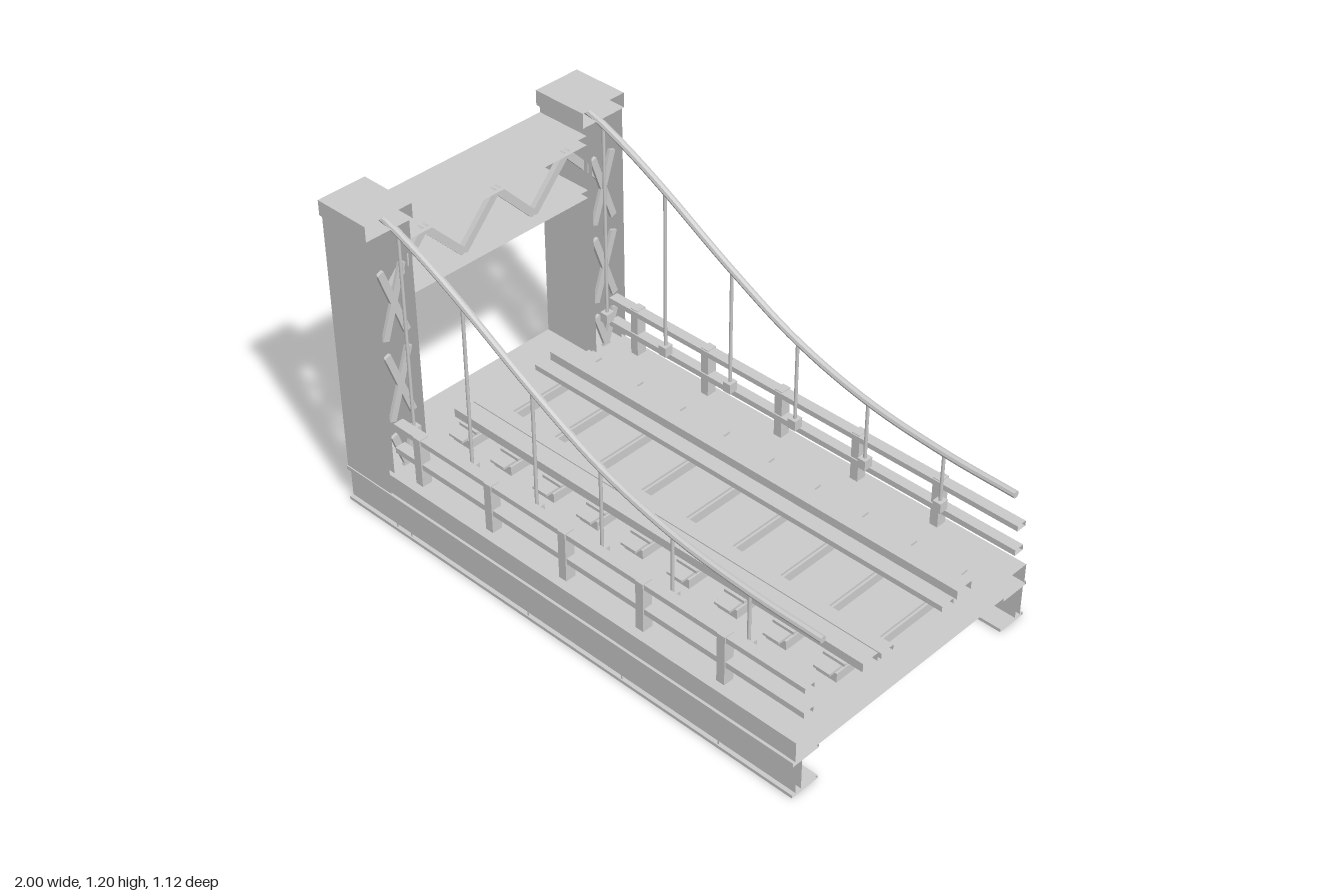
import * as THREE from 'three';

export function createModel() {
  const model = new THREE.Group();
  model.name = 'suspensionBridgeSection';
  const steel = new THREE.MeshStandardMaterial({ color: 0xcacaca, side: THREE.DoubleSide });
  steel.name = 'plain grey';

  const add = (parent, name, geometry) => {
    const mesh = new THREE.Mesh(geometry, steel);
    mesh.name = name;
    parent.add(mesh);
    return mesh;
  };
  // Box given by its limits; open = without the two x end faces
  const box = (parent, name, x0, x1, y0, y1, z0, z1, open = false) => {
    const g = new THREE.BoxGeometry(x1 - x0, y1 - y0, z1 - z0);
    if (open) {
      g.setIndex(Array.from(g.index.array).slice(12));
      g.clearGroups();
    }
    g.translate((x0 + x1) / 2, (y0 + y1) / 2, (z0 + z1) / 2);
    return add(parent, name, g);
  };
  // Same box on both sides of the bridge
  const pair = (parent, name, x0, x1, y0, y1, z0, z1, open) => {
    box(parent, name + 'Left', x0, x1, y0, y1, z0, z1, open);
    box(parent, name + 'Right', x0, x1, y0, y1, -z1, -z0, open);
  };
  // Flat bar between two points of a plane across the bridge
  const bar = (parent, name, x, [z0, y0], [z1, y1], width, depth = 0.012) => {
    const dz = z1 - z0, dy = y1 - y0;
    const m = add(parent, name, new THREE.BoxGeometry(depth, width, Math.hypot(dz, dy)));
    m.position.set(x, (y0 + y1) / 2, (z0 + z1) / 2);
    m.rotation.x = -Math.atan2(dy, dz);
  };
  const group = (name) => {
    const g = new THREE.Group();
    g.name = name;
    model.add(g);
    return g;
  };

  // Deck, side girders and cross beams
  const deck = group('deck');
  box(deck, 'deckSlab', -1, 1, 0.144, 0.22, -0.545, 0.545, true);
  pair(deck, 'girderWeb', -1, 1, 0.012, 0.13, 0.515, 0.54, true);
  pair(deck, 'girderBottomFlange', -1, 1, 0, 0.012, 0.44, 0.555, true);
  pair(deck, 'girderTopFlange', -1, 1, 0.13, 0.144, 0.44, 0.555, true);
  for (const x of [-0.76, -0.69, -0.13, 0.29, 0.7])
    pair(deck, 'girderStiffener', x - 0.003, x + 0.003, 0.012, 0.13, 0.505, 0.55, true);
  box(deck, 'frontCrossBeam', 0.76, 0.89, 0.01, 0.14, -0.54, 0.54);
  box(deck, 'towerCrossBeam', -0.89, -0.76, 0.01, 0.14, -0.54, 0.54);

  // Sleepers, plates and running rails
  const track = group('track');
  for (let i = 0; i < 9; i++) {
    const x = -0.7 + i * 0.2;
    box(track, 'sleeper', x - 0.04, x + 0.04, 0.253, 0.288, -0.3, 0.3);
    box(track, 'sleeperPlate', x - 0.032, x + 0.032, 0.288, 0.297, -0.325, 0.325);
    pair(track, 'railChair', x - 0.042, x + 0.042, 0.297, 0.303, 0.155, 0.27);
    pair(track, 'chairOuterLip', x - 0.042, x + 0.042, 0.303, 0.308, 0.262, 0.27);
    pair(track, 'chairInnerLip', x - 0.042, x + 0.042, 0.303, 0.308, 0.155, 0.163);
  }
  pair(track, 'rail', -0.78, 1, 0.303, 0.336, 0.187, 0.255, true);
  pair(track, 'guardRail', -0.78, 1, 0.299, 0.32, 0.115, 0.17, true);

  // Railings along both edges, posts outside the rails
  const railing = group('railings');
  for (let i = -2; i <= 2; i++) {
    const x = 0.006 + i * 0.335;
    pair(railing, 'railingPost', x - 0.016, x + 0.016, 0.23, 0.42, 0.48, 0.52);
  }
  pair(railing, 'handRail', -0.78, 1, 0.397, 0.417, 0.475, 0.515, true);
  pair(railing, 'lowerRail', -0.78, 1, 0.298, 0.32, 0.475, 0.515, true);

  // Tower legs: plated columns with crossed bracing and caps
  const tower = group('tower');
  const X0 = -1, X1 = -0.778;
  pair(tower, 'legOuterPlate', X0, X1, 0.144, 1.144, 0.53, 0.55, true);
  pair(tower, 'legInnerPlate', X0, X1, 0.22, 1.144, 0.385, 0.405, true);
  pair(tower, 'towerCap', X0, X1, 1.144, 1.2, 0.37, 0.56, true);
  for (const s of [1, -1])
    for (const x of [X0 + 0.012, X1 - 0.012])
      for (const y of [0.1, 0.42, 0.74]) {
        bar(tower, 'legBrace', x, [s * 0.51, y], [s * 0.42, y + 0.26], 0.026);
        bar(tower, 'legBrace', x, [s * 0.42, y], [s * 0.51, y + 0.26], 0.026);
      }

  // Portal between the legs with a zigzag web
  box(tower, 'portalTopChord', X0, X1, 1.075, 1.11, -0.385, 0.385, true);
  box(tower, 'portalBottomChord', X0, X1, 0.87, 0.9, -0.385, 0.385, true);
  for (let i = 0; i < 6; i++) {
    const z = -0.465 + i * 0.155;
    const low = 0.905, high = 1.07;
    bar(tower, 'portalWebBar', -0.805, [z, i % 2 ? high : low],
      [z + 0.155, i % 2 ? low : high], 0.028, 0.02);
  }

  // Main cables with hangers and clamps
  const cables = group('cables');
  const points = [[-0.97, 1.175], [-0.88, 1.165], [-0.78, 1.14], [-0.63, 1.077], [-0.48, 1],
    [-0.18, 0.83], [0.11, 0.69], [0.41, 0.605], [0.72, 0.57], [1, 0.562]];
  const hangers = [[-0.762, 1.13], [-0.48, 1], [-0.18, 0.83], [0.11, 0.69], [0.41, 0.605], [0.72, 0.57]];
  for (const s of [1, -1]) {
    const z = s * 0.446;
    const path = new THREE.CatmullRomCurve3(points.map(([x, y]) => new THREE.Vector3(x, y, z)));
    const tube = new THREE.TubeGeometry(path, 40, 0.013, 8).toNonIndexed();
    tube.computeVertexNormals();
    add(cables, 'mainCable', tube);
    const end = add(cables, 'cableEnd', new THREE.CircleGeometry(0.013, 8));
    end.rotation.y = Math.PI / 2;
    end.position.set(1, 0.562, z);
    for (const [x, top] of hangers) {
      const rod = add(cables, 'hanger', new THREE.CylinderGeometry(0.006, 0.006, top - 0.36, 8));
      rod.position.set(x, (top + 0.36) / 2, z);
      box(cables, 'hangerBlock', x - 0.016, x + 0.016, 0.343, 0.381, z - 0.018, z + 0.018);
    }
  }
  return model;
}
